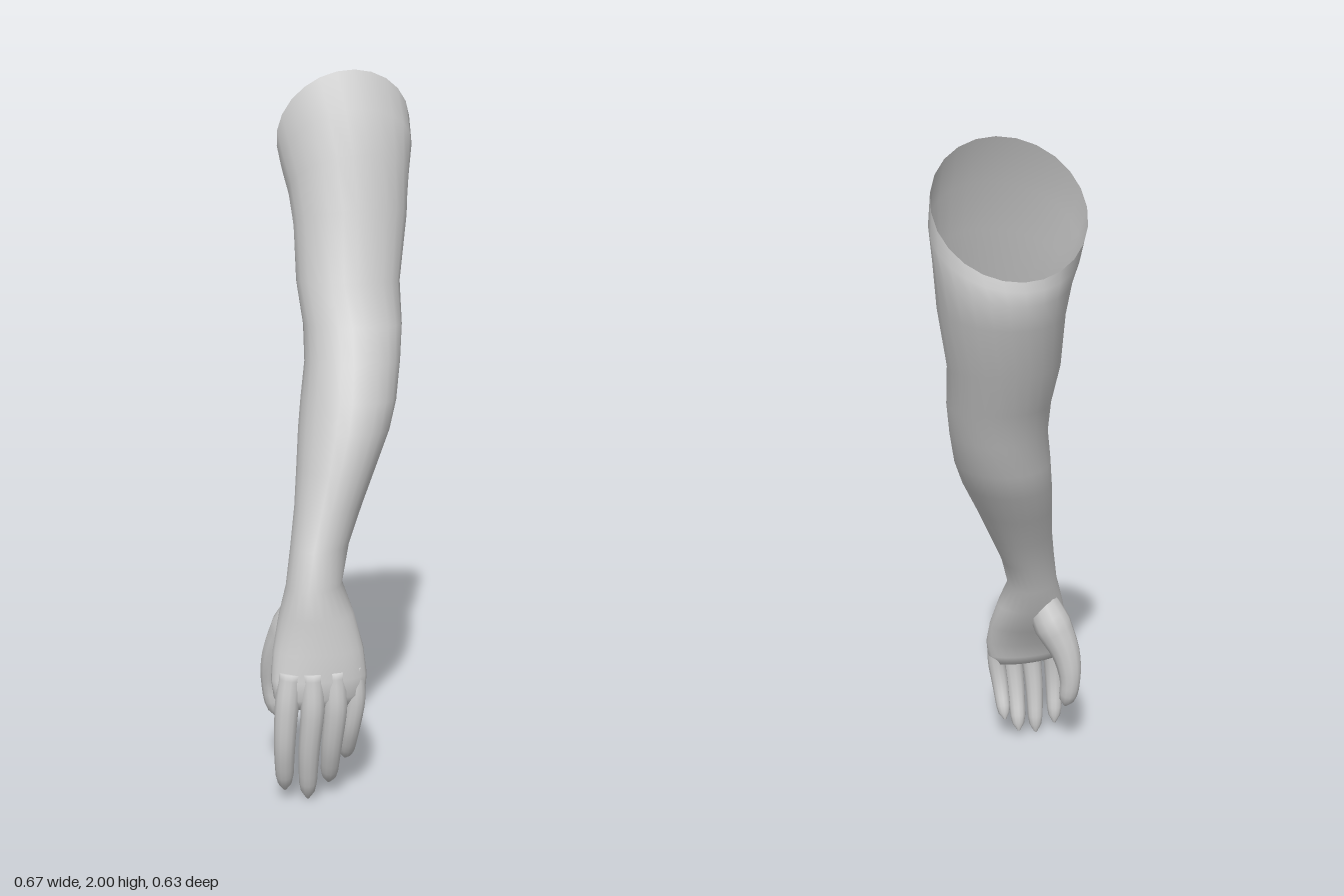
import * as THREE from 'three';

const SIDES = 24;
const material = new THREE.MeshStandardMaterial({ color: 0xcccccc, side: THREE.DoubleSide });

// Smooth skin through rings of points; rings run downward, optionally closed at either end
function skin(name, rings, capStart, capEnd) {
  const n = rings[0].length, index = [];
  const pos = rings.flat().flatMap((p) => [p.x, p.y, p.z]);
  for (let r = 0; r < rings.length - 1; r++) {
    for (let i = 0; i < n; i++) {
      const a = r * n + i, b = r * n + (i + 1) % n;
      index.push(a, b, a + n, b, b + n, a + n);
    }
  }
  const cap = (ring, start, flip) => {
    const c = ring.reduce((s, p) => s.add(p), new THREE.Vector3()).divideScalar(n);
    const k = pos.length / 3;
    pos.push(c.x, c.y, c.z);
    for (let i = 0; i < n; i++) {
      const a = start + i, b = start + (i + 1) % n;
      index.push(k, ...(flip ? [b, a] : [a, b]));
    }
  };
  if (capStart) cap(rings[0], 0, true);
  if (capEnd) cap(rings[rings.length - 1], (rings.length - 1) * n, false);
  // order of corners so that faces look outward
  for (let i = 0; i < index.length; i += 3) [index[i + 1], index[i + 2]] = [index[i + 2], index[i + 1]];
  const g = new THREE.BufferGeometry();
  g.setAttribute('position', new THREE.Float32BufferAttribute(pos, 3));
  g.setIndex(index);
  g.computeVertexNormals();
  const mesh = new THREE.Mesh(g, material);
  mesh.name = name;
  return mesh;
}

// Skewed ellipse from its bounds; tilt lifts the front and lowers the back
function section([y, tilt, x0, x1, z0, z1, skew]) {
  const ring = [], phi = Math.asin(skew);
  for (let i = 0; i < SIDES; i++) {
    const t = -i / SIDES * Math.PI * 2;
    ring.push(new THREE.Vector3(
      (x0 + x1) / 2 + (x1 - x0) / 2 * Math.cos(t),
      y + tilt * Math.sin(t),
      (z0 + z1) / 2 + (z1 - z0) / 2 * Math.sin(t + phi)));
  }
  return ring.reverse();
}

// Tapered digit along a curve with a rounded tip
function digit(name, points, radii) {
  const curve = new THREE.CatmullRomCurve3(points.map((p) => new THREE.Vector3(...p)));
  const steps = 16, n = 12, rings = [];
  const side = new THREE.Vector3(0.92, 0, 0.38);
  for (let s = 0; s <= steps; s++) {
    const t = s / steps, f = t * (radii.length - 1), k = Math.min(Math.floor(f), radii.length - 2);
    const round = Math.sqrt(Math.max(0.03, 1 - Math.max(0, (t - 0.86) / 0.14) ** 2));
    const r = THREE.MathUtils.lerp(radii[k], radii[k + 1], f - k) * round;
    const c = curve.getPoint(t), d = curve.getTangent(t);
    const v = new THREE.Vector3().crossVectors(side, d).normalize();
    const u = new THREE.Vector3().crossVectors(d, v).normalize();
    const ring = [];
    for (let i = 0; i < n; i++) {
      const a = -i / n * Math.PI * 2;
      ring.push(c.clone().addScaledVector(u, r * Math.cos(a)).addScaledVector(v, r * Math.sin(a)));
    }
    rings.push(ring.reverse());
  }
  return skin(name, rings, true, true);
}

export function createModel() {
  const group = new THREE.Group();
  group.name = 'arm';

  // Open upper arm, elbow, forearm, wrist and palm: y, tilt, x range, z range, skew
  const rows = [
    [1.83, 0.17, -0.03, 0.333, -0.315, -0.122, 0.75],
    [1.76, 0.125, -0.03, 0.33, -0.308, -0.085, 0.55],
    [1.68, 0.08, -0.022, 0.32, -0.303, -0.063, 0.35],
    [1.57, 0.035, -0.026, 0.302, -0.285, -0.028, 0.2],
    [1.4, 0, -0.047, 0.252, -0.24, 0.018, 0.12],
    [1.28, 0, -0.058, 0.225, -0.19, 0.08, 0.05],
    [1.18, 0, -0.085, 0.197, -0.15, 0.128, -0.05],
    [1.08, 0, -0.115, 0.165, -0.13, 0.168, -0.08],
    [1.0, 0, -0.14, 0.125, -0.1, 0.192, -0.1],
    [0.9, 0, -0.17, 0.065, -0.05, 0.206, -0.15],
    [0.8, 0, -0.2, 0.01, 0, 0.213, -0.22],
    [0.7, 0, -0.235, -0.045, 0.042, 0.23, -0.3],
    [0.6, 0, -0.265, -0.085, 0.072, 0.255, -0.3],
    [0.52, 0, -0.285, -0.072, 0.09, 0.273, 0],
    [0.43, 0, -0.308, -0.07, 0.125, 0.292, 0.35],
    [0.36, 0, -0.328, -0.075, 0.165, 0.305, 0.5],
    [0.31, 0, -0.325, -0.082, 0.18, 0.303, 0.55],
    [0.28, 0, -0.305, -0.1, 0.195, 0.285, 0.6],
  ];
  group.add(skin('armAndPalm', rows.map(section), false, true));

  // Four fingers, from knuckle to tip
  const fingers = {
    indexFinger: [[-0.285, 0.38, 0.225], [-0.3, 0.29, 0.23], [-0.305, 0.17, 0.225], [-0.288, 0.035, 0.195]],
    middleFinger: [[-0.235, 0.38, 0.255], [-0.24, 0.28, 0.265], [-0.243, 0.15, 0.25], [-0.23, 0.005, 0.22]],
    ringFinger: [[-0.175, 0.38, 0.27], [-0.177, 0.28, 0.28], [-0.177, 0.16, 0.26], [-0.16, 0.035, 0.215]],
    littleFinger: [[-0.115, 0.38, 0.268], [-0.113, 0.29, 0.278], [-0.117, 0.2, 0.262], [-0.106, 0.095, 0.215]],
  };
  for (const [name, pts] of Object.entries(fingers)) {
    group.add(digit(name, pts, name === 'littleFinger' ? [0.03, 0.029, 0.026, 0.021] : [0.032, 0.033, 0.029, 0.023]));
  }

  // Thumb with its fleshy base
  group.add(digit('thumb',
    [[-0.185, 0.55, 0.145], [-0.21, 0.46, 0.1], [-0.235, 0.37, 0.06], [-0.24, 0.28, 0.042], [-0.232, 0.185, 0.055]],
    [0.05, 0.06, 0.045, 0.033, 0.027]));
  return group;
}
